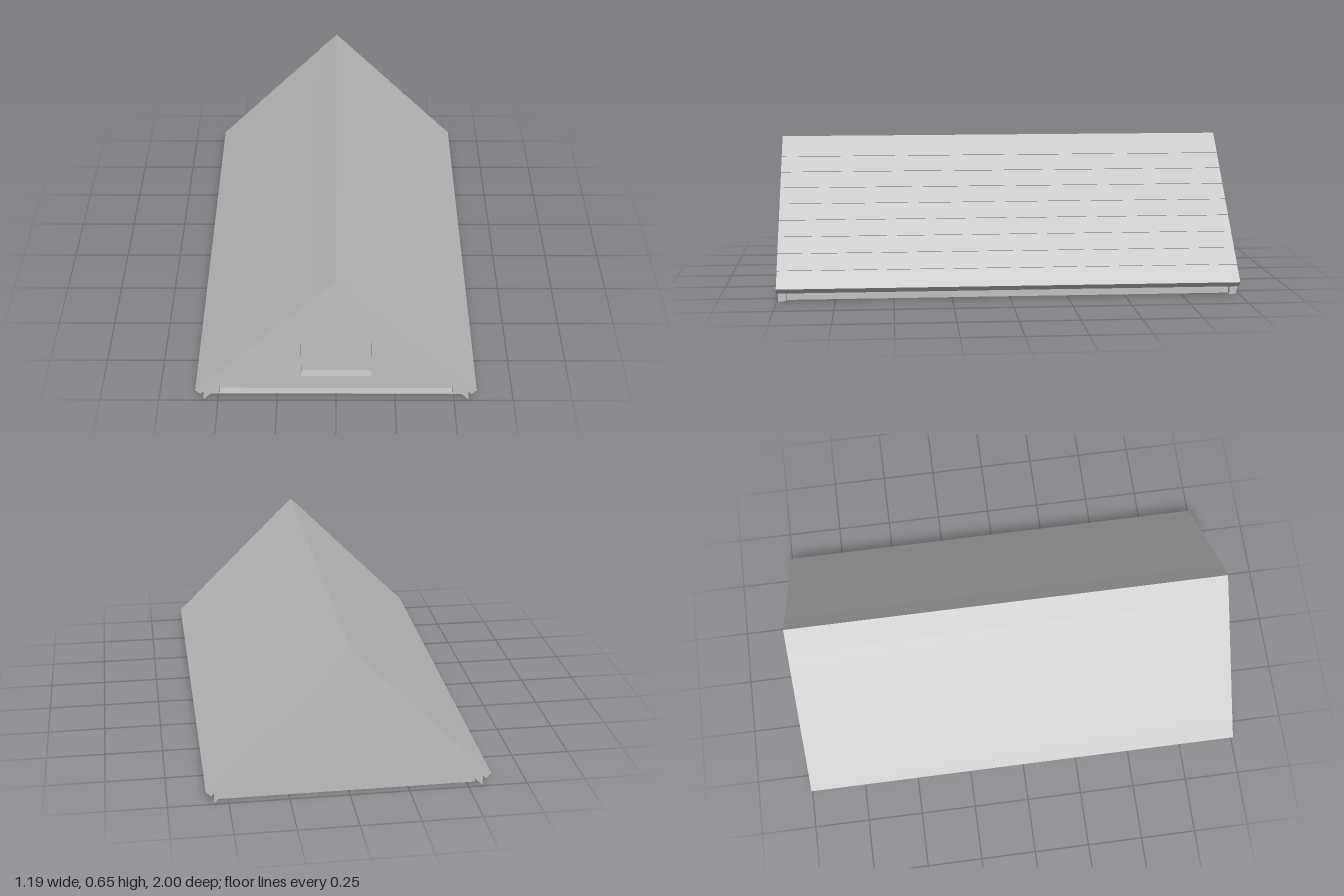
import * as THREE from 'three';

const SPAN = 0.608;   // x + y along the underside of the roof
const HALF = 0.535;   // half width of the walls

const poly = (pts) => new THREE.Shape(pts.map(([x, y]) => new THREE.Vector2(x, y)));
const mirror = (pts) => [...pts, ...pts.slice().reverse().filter(([x]) => x > 0).map(([x, y]) => [-x, y])];

export function createModel() {
  const group = new THREE.Group();
  const grey = new THREE.MeshStandardMaterial({ color: 0xc0c0c0 });
  grey.name = 'plain grey';

  const add = (name, geometry, x = 0, y = 0, z = 0) => {
    const mesh = new THREE.Mesh(geometry, grey);
    mesh.name = name;
    mesh.position.set(x, y, z);
    group.add(mesh);
  };
  // Extrude a shape from z0 to z1
  const slab = (name, shape, z0, z1) =>
    add(name, new THREE.ExtrudeGeometry(shape, { depth: z1 - z0, bevelEnabled: false }), 0, 0, z0);

  // Roof: two slopes in one profile, with slightly overlapping shingle courses
  const outer = [[0, 0.648]];
  for (let y = 0.565; y > 0.1; y -= 0.0628) {
    outer.push([0.651 - y, y], [0.649 - y, y - 0.002]);
  }
  outer.push([0.593, 0.058], [0.572, SPAN - 0.572]);
  const roof = [...outer, [0, SPAN], ...outer.slice(1).reverse().map(([x, y]) => [-x, y])];
  slab('shingleRoof', poly(roof), -1, 1);

  // Barge boards under the roof at both ends
  const board = poly([
    [0, SPAN], [0.56, SPAN - 0.56], [0.56, 0], [0, 0.56], [-0.56, 0], [-0.56, SPAN - 0.56],
  ]);
  slab('frontBargeBoard', board, 0.96, 0.993);
  slab('backBargeBoard', board, -0.993, -0.96);

  // Gable walls, the front one with a window opening
  const gable = () => poly(mirror([[0, SPAN], [HALF, SPAN - HALF], [HALF, 0]]));
  slab('backGable', gable(), -0.96, -0.92);
  const front = gable();
  front.holes.push(new THREE.Path([
    [-0.148, 0.073], [0.148, 0.073], [0.148, 0.257], [-0.148, 0.257],
  ].map(([x, y]) => new THREE.Vector2(x, y))));
  slab('frontGable', front, 0.89, 0.928);
  add('windowPane', new THREE.BoxGeometry(0.296, 0.184, 0.008), 0, 0.165, 0.888);

  // Thin ledge at the foot of the front gable
  add('frontLedge', new THREE.BoxGeometry(HALF * 2, 0.004, 0.032), 0, 0.002, 0.944);

  // Low side walls, their tops following the roof
  for (const s of [1, -1]) {
    const wall = poly([
      [s * 0.495, 0], [s * HALF, 0], [s * HALF, SPAN - HALF], [s * 0.495, SPAN - 0.495],
    ]);
    slab(s > 0 ? 'leftWall' : 'rightWall', wall, -0.96, 0.96);
  }
  return group;
}
